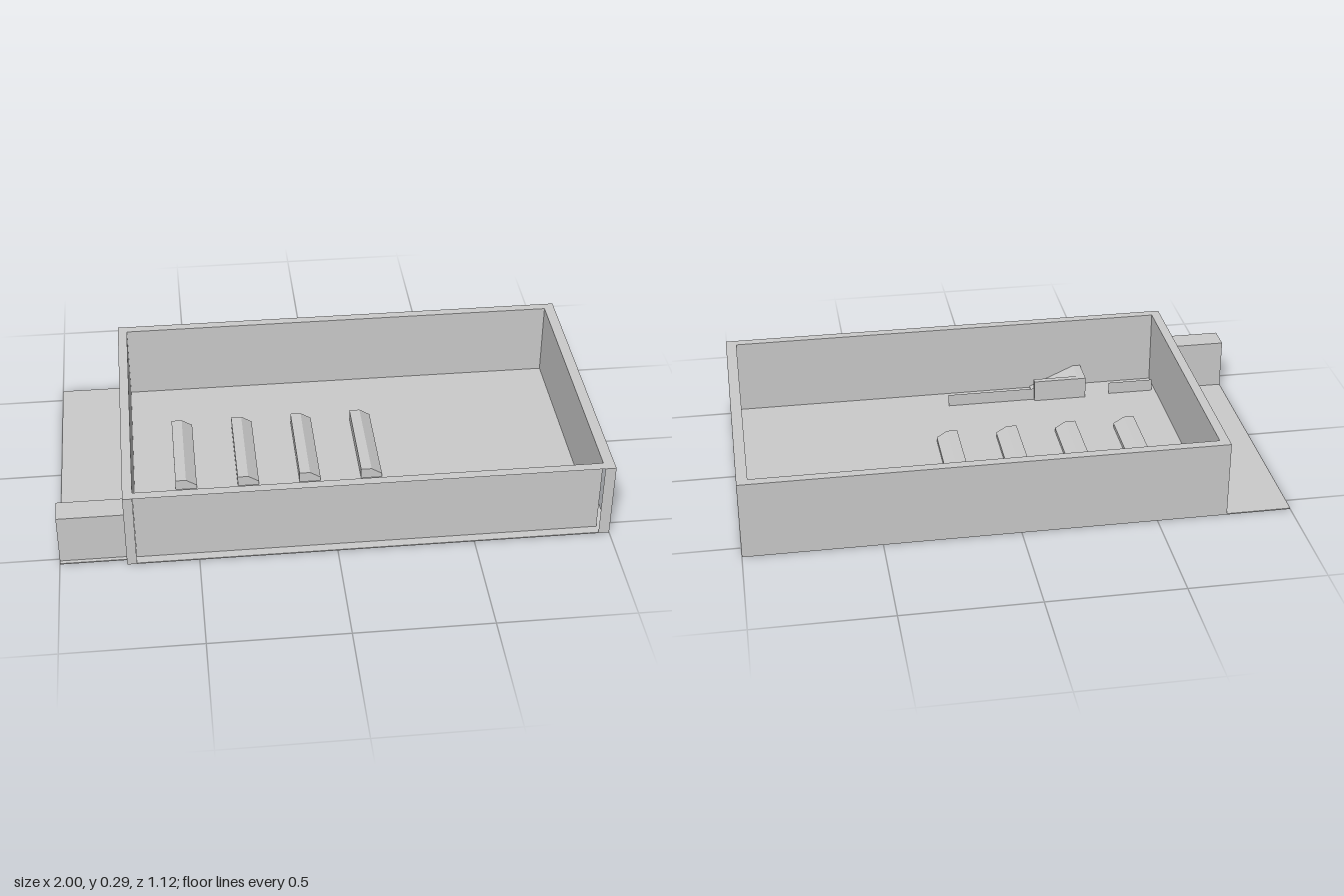
import * as THREE from 'three';

const skin = new THREE.MeshStandardMaterial({ color: 0xcccccc, flatShading: true });
const sheet = new THREE.MeshStandardMaterial({ color: 0xcccccc, flatShading: true, side: THREE.DoubleSide });

// Main extents: outer shell, inner lining and heights
const X0 = -0.76, X1 = 1, Z0 = -0.56, Z1 = 0.555;
const IX0 = -0.725, IX1 = 0.96, IZ0 = -0.525, IZ1 = 0.52;
const H = 0.295, FLOOR = 0.004;

export function createModel() {
  const group = new THREE.Group();

  const add = (name, geometry, material = skin) => {
    const mesh = new THREE.Mesh(geometry, material);
    mesh.name = name;
    group.add(mesh);
    return mesh;
  };

  const box = (name, x0, x1, y0, y1, z0, z1) =>
    add(name, new THREE.BoxGeometry(x1 - x0, y1 - y0, z1 - z0))
      .position.set((x0 + x1) / 2, (y0 + y1) / 2, (z0 + z1) / 2);

  // Upright panel along x at depth z; dir = 1 faces front, -1 faces back
  const panelX = (name, x0, x1, z, h, dir, material) => {
    const mesh = add(name, new THREE.PlaneGeometry(x1 - x0, h), material);
    mesh.position.set((x0 + x1) / 2, h / 2, z);
    if (dir < 0) mesh.rotation.y = Math.PI;
  };

  // Upright panel along z at x; dir = 1 faces +x, -1 faces -x
  const panelZ = (name, z0, z1, x, h, dir, material) => {
    const mesh = add(name, new THREE.PlaneGeometry(z1 - z0, h), material);
    mesh.position.set(x, h / 2, (z0 + z1) / 2);
    mesh.rotation.y = dir * Math.PI / 2;
  };

  // Profile in x-y extruded along z
  const prism = (name, points, z0, z1) => {
    const shape = new THREE.Shape(points.map(([x, y]) => new THREE.Vector2(x, y)));
    const geometry = new THREE.ExtrudeGeometry(shape, { depth: z1 - z0, bevelEnabled: false });
    add(name, geometry).position.z = z0;
  };

  // Floor plate, with a shallower part outside the walls
  box('floor', X0, X1, 0, FLOOR, Z0, Z1);
  box('sideFloor', -1, X0, 0, FLOOR, Z0, 0.53);

  // Outer walls on the back and left
  panelX('backOuterWall', X0, X1, Z0, H, -1);
  panelZ('leftOuterWall', Z0, Z1, X1, H, 1);

  // Inner walls; the front and right ones are recessed behind the posts
  panelX('frontWall', IX0, IX1, IZ1, H, 1, sheet);
  panelX('backInnerWall', IX0, IX1, IZ0, H, 1, sheet);
  panelZ('rightWall', IZ0, IZ1, IX0, H, -1, sheet);
  panelZ('leftInnerWall', IZ0, IZ1, IX1, H, -1, sheet);

  // Corner post faces
  panelX('frontRightPost', X0, IX0, Z1, H, 1);
  panelX('frontLeftPost', IX1, X1, Z1, H, 1);
  panelZ('sideFrontPost', IZ1, Z1, X0, H, -1);
  panelZ('sideBackPost', Z0, IZ0, X0, H, -1);

  // Flat rim around the top
  const ring = (s, x0, x1, z0, z1) =>
    s.moveTo(x0, -z1).lineTo(x1, -z1).lineTo(x1, -z0).lineTo(x0, -z0).closePath();
  const rimShape = new THREE.Shape();
  const opening = new THREE.Path();
  ring(rimShape, X0, X1, Z0, Z1);
  ring(opening, IX0, IX1, IZ0, IZ1);
  rimShape.holes.push(opening);
  const rim = add('rim', new THREE.ShapeGeometry(rimShape));
  rim.rotation.x = -Math.PI / 2;
  rim.position.y = H;

  // Open-ended passage beside the walls
  const ph = 0.195, pz0 = 0.42, pz1 = 0.515;
  panelX('passageFront', -1, IX0, pz1, ph, 1);
  panelX('passageBack', -1, IX0, pz0, ph, -1);
  const roof = add('passageRoof', new THREE.PlaneGeometry(IX0 + 1, pz1 - pz0));
  roof.rotation.x = -Math.PI / 2;
  roof.position.set((IX0 - 1) / 2, ph, (pz0 + pz1) / 2);

  // Low partitions inside
  panelX('partition', -0.71, -0.53, 0.415, 0.053, 1, sheet);
  panelX('partition', -0.22, 0.13, 0.415, 0.053, 1, sheet);

  // Ramp with a kerb on the back and a landing at its top
  box('rampKerb', -0.43, -0.22, 0, 0.09, 0.402, 0.425);
  box('rampLanding', -0.43, -0.4, 0, 0.09, 0.425, 0.518);
  prism('ramp', [[-0.4, 0], [-0.22, 0], [-0.22, 0.01], [-0.4, 0.09]], 0.425, 0.518);

  // Row of four bars, each flat on one half and sloped on the other
  for (let i = 0; i < 4; i++) {
    const x = -0.57 + i * 0.235;
    prism('bar', [[x, 0], [x + 0.08, 0], [x + 0.08, 0.02], [x + 0.04, 0.045], [x, 0.045]], -0.25, 0.14);
  }

  return group;
}
